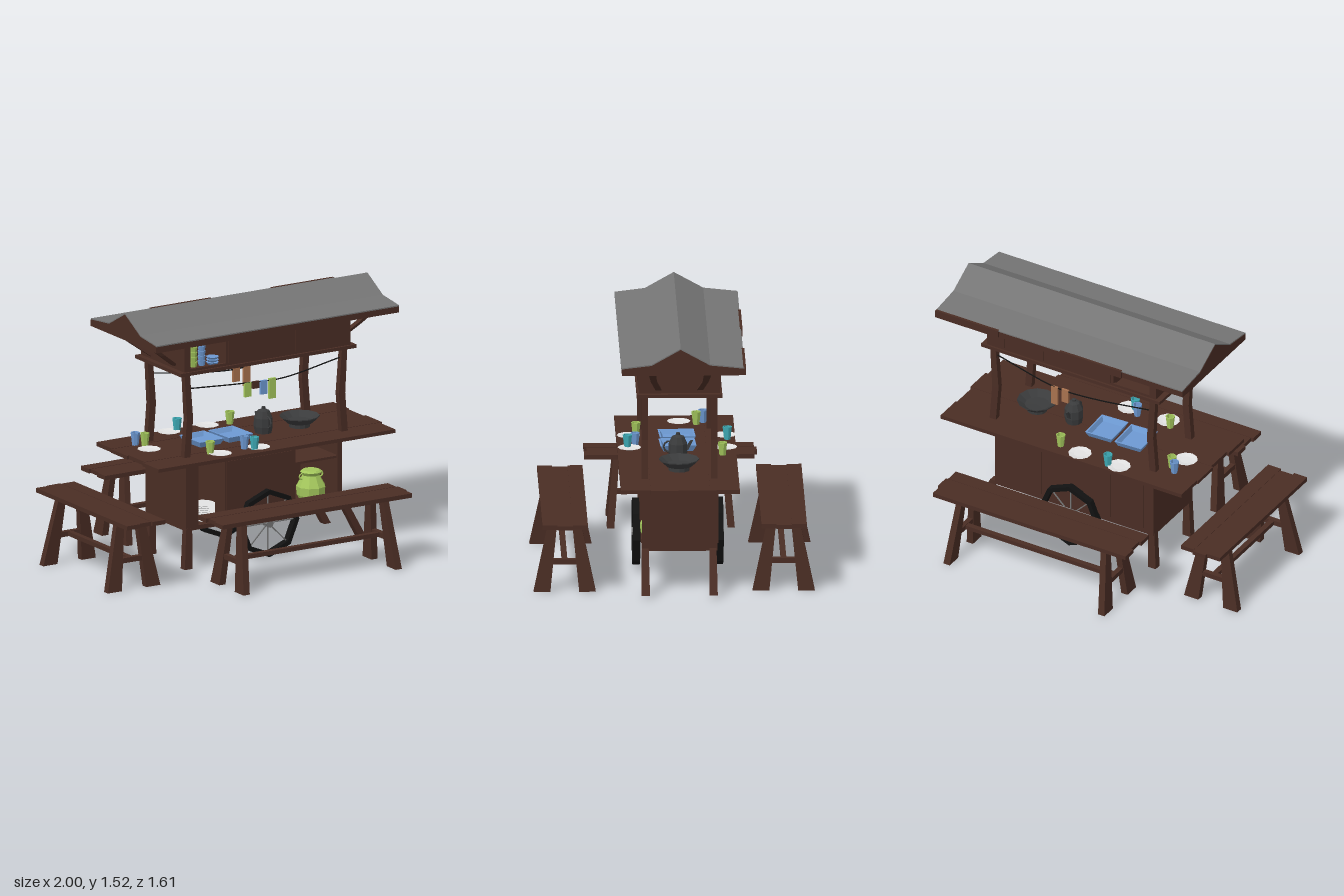
import * as THREE from 'three';

const paint = (name, color) => Object.assign(new THREE.MeshStandardMaterial({ color }), { name });
const wood = paint('dark wood', 0x4a2d24), tin = paint('grey tin', 0x757575), rubber = paint('black rubber', 0x121212);
const iron = paint('dark iron', 0x3a3b3c), green = paint('green glaze', 0xa3c65c), blue = paint('blue enamel', 0x6d99d2);
const teal = paint('teal glass', 0x3fadb8), white = paint('white china', 0xe2e2e2), tan = paint('tan cloth', 0xa8714e);

// Faceted mesh added to a parent
function add(parent, name, geo, mat, x = 0, y = 0, z = 0) {
  const g = geo.index ? geo.toNonIndexed() : geo;
  g.computeVertexNormals();
  const m = new THREE.Mesh(g, mat);
  m.name = name;
  m.position.set(x, y, z);
  parent.add(m);
  return m;
}

// Box given by its minimum and maximum on each axis
const box = (p, name, mat, x0, x1, y0, y1, z0, z1) =>
  add(p, name, new THREE.BoxGeometry(x1 - x0, y1 - y0, z1 - z0), mat, (x0 + x1) / 2, (y0 + y1) / 2, (z0 + z1) / 2);

// Tapered beam from a up to b with level ends of size [x, z]
function beam(p, name, a, b, sa, sb = sa, mat = wood) {
  const g = new THREE.BoxGeometry(1, 1, 1), v = g.attributes.position;
  for (let i = 0; i < v.count; i++) {
    const top = v.getY(i) > 0, c = top ? b : a, s = top ? sb : sa;
    v.setXYZ(i, c[0] + v.getX(i) * s[0], c[1], c[2] + v.getZ(i) * s[1]);
  }
  return add(p, name, g, mat);
}

const lathe = (pts, sides) => new THREE.LatheGeometry(pts.map(q => new THREE.Vector2(...q)), sides);

// Board of several planks along x with uneven ends
function planks(p, name, x0, x1, y0, y1, z0, z1, n) {
  const w = (z1 - z0) / n;
  for (let i = 0; i < n; i++) {
    const j = 0.008 * Math.sin(i * 2.7 + z0 * 9);
    box(p, name, wood, x0 + j, x1 + j, y0, y1 - 0.002 * (i % 2), z0 + i * w, z0 + (i + 1) * w);
  }
}

// Panel in the xy plane with rectangular holes [x0, x1, y0, y1]
function panel(p, name, [x0, x1, y0, y1], holes, z, depth) {
  const rect = (C, a, b, c, d) => new C([[a, c], [b, c], [b, d], [a, d]].map(q => new THREE.Vector2(...q)));
  const s = rect(THREE.Shape, x0, x1, y0, y1);
  s.holes = holes.map(h => rect(THREE.Path, ...h));
  add(p, name, new THREE.ExtrudeGeometry(s, { depth, bevelEnabled: false }), wood, 0, 0, z);
}

// Solid along x from a [z, y] profile
function prismX(p, name, mat, pts, x0, x1) {
  const s = new THREE.Shape(pts.map(([z, y]) => new THREE.Vector2(-z, y)));
  add(p, name, new THREE.ExtrudeGeometry(s, { depth: x1 - x0, bevelEnabled: false }).rotateY(Math.PI / 2), mat, x0);
}

function bench(length, foot) {
  const g = new THREE.Group(), h = length / 2, inner = foot - 0.035;
  g.name = 'bench';
  planks(g, 'benchSeat', -h, h, 0.397, 0.422, -0.13, 0.13, 3);
  for (const sx of [-1, 1]) {
    for (const sz of [-1, 1])
      beam(g, 'benchLeg', [sx * foot, 0, sz * 0.13], [sx * inner, 0.398, sz * 0.068], [0.042, 0.095], [0.036, 0.05]);
    box(g, 'benchCrossbar', wood, sx * (foot - 0.015) - 0.015, sx * (foot - 0.015) + 0.015, 0.157, 0.187, -0.09, 0.09);
  }
  box(g, 'benchStretcher', wood, -foot, foot, 0.16, 0.185, -0.016, 0.016);
  return g;
}

function wheel(z) {
  const g = new THREE.Group();
  g.name = 'wheel';
  const ring = r => Array.from({ length: 8 }, (_, i) =>
    new THREE.Vector2(r * Math.cos(i * Math.PI / 4), r * Math.sin(i * Math.PI / 4)));
  const s = new THREE.Shape(ring(0.2));
  s.holes.push(new THREE.Path(ring(0.172)));
  add(g, 'tyre', new THREE.ExtrudeGeometry(s, { depth: 0.042, bevelEnabled: false }), rubber, 0, 0, -0.021);
  for (let i = 0; i < 4; i++)
    add(g, 'spoke', new THREE.BoxGeometry(0.35, 0.006, 0.006), tin).rotation.z = i * Math.PI / 4;
  add(g, 'hub', new THREE.CylinderGeometry(0.024, 0.024, 0.05, 8).rotateX(Math.PI / 2), tin);
  g.position.set(0.175, 0.212, z);
  return g;
}

function cart(root) {
  const g = new THREE.Group();
  g.name = 'cart';
  root.add(g);
  // Lower cabinet with two open bays at the front
  panel(g, 'cabinetFront', [-0.365, 0.69, 0.235, 0.652], [[-0.28, -0.1, 0.26, 0.62], [0.375, 0.66, 0.26, 0.62]], 0.16, 0.018);
  box(g, 'cabinetBack', wood, -0.365, 0.69, 0.235, 0.652, -0.255, -0.237);
  box(g, 'cabinetFloor', wood, -0.365, 0.69, 0.235, 0.258, -0.24, 0.165);
  for (const x of [-0.365, -0.3, -0.1, 0.357, 0.672]) box(g, 'cabinetWall', wood, x, x + 0.018, 0.235, 0.652, -0.25, 0.165);
  box(g, 'innerShelf', wood, 0.37, 0.675, 0.517, 0.53, -0.24, 0.165);
  for (const [a, b] of [[-0.095, 0.085], [0.1, 0.35]]) box(g, 'frontDoor', wood, a, b, 0.27, 0.61, 0.175, 0.182);
  for (const [a, b] of [[-0.3, -0.1], [-0.08, 0.1], [0.38, 0.65]]) box(g, 'backDoor', wood, a, b, 0.27, 0.61, -0.26, -0.25);
  // Legs, slanted props, axle
  for (const z of [0.16, -0.228]) {
    beam(g, 'cartLeg', [-0.35, 0.008, z], [-0.345, 0.25, z], [0.052, 0.045], [0.04, 0.04]);
    beam(g, 'cartProp', [0.835, 0.015, z], [0.705, 0.25, z], [0.045, 0.048], [0.045, 0.04]);
  }
  add(g, 'axle', new THREE.CylinderGeometry(0.013, 0.013, 0.48, 8).rotateX(Math.PI / 2), tin, 0.175, 0.212, -0.038);
  g.add(wheel(0.2), wheel(-0.277));
  // Counter
  planks(g, 'counter', -0.625, 0.98, 0.652, 0.675, -0.375, 0.305, 4);
  prismX(g, 'counterBrace', wood, [[0.29, 0.653], [0.17, 0.653], [0.17, 0.63]], 0, 0.35);
  // Bowed posts
  for (const z of [0.162, -0.235]) for (const [x, s] of [[-0.358, 1], [0.708, -1]]) {
    beam(g, 'post', [x, 0.67, z], [x + s * 0.018, 0.9, z], [0.042, 0.037]);
    beam(g, 'post', [x + s * 0.018, 0.9, z], [x, 1.17, z], [0.042, 0.037], [0.036, 0.035]);
  }
  // Upper cabinet
  box(g, 'upperShelf', wood, -0.42, 0.77, 1.165, 1.185, -0.28, 0.21);
  const upper = [-0.387, 0.737, 1.18, 1.37], bay = [-0.345, -0.105, 1.2, 1.35];
  panel(g, 'upperFront', upper, [bay], 0.18, 0.016);
  panel(g, 'upperBack', upper, [bay], -0.268, 0.016);
  box(g, 'upperDivider', wood, -0.38, 0.73, 1.18, 1.37, -0.045, -0.03);
  for (const x of [-0.387, -0.105, 0.721]) box(g, 'upperWall', wood, x, x + 0.016, 1.18, 1.37, -0.26, 0.185);
  for (const [a, b] of [[-0.09, -0.01], [0.36, 0.61], [0.62, 0.69]])
    for (const z of [0.195, -0.273]) box(g, 'slidingDoor', wood, a, b, 1.2, 1.35, z, z + 0.006);
  // Roof, tin skin, rear fascia and braces
  prismX(g, 'roofBody', wood, [[-0.4, 1.362], [0.3, 1.362], [0.3, 1.4], [0.13, 1.42], [-0.036, 1.514], [-0.205, 1.42], [-0.4, 1.4]], -0.645, 1);
  prismX(g, 'roofSkin', tin, [[0.304, 1.399], [0.304, 1.406], [0.13, 1.427], [-0.036, 1.521], [-0.205, 1.427], [-0.402, 1.406],
    [-0.402, 1.399], [-0.205, 1.419], [-0.036, 1.512], [0.13, 1.419]], -0.643, 0.998);
  for (const [a, b] of [[-0.24, 0.17], [0.58, 0.998]]) box(g, 'rearFascia', wood, a, b, 1.362, 1.408, -0.41, -0.395);
  for (const [x0, x1] of [[-0.385, -0.6], [0.735, 0.955]]) for (const s of [-1, 1]) {
    const z = d => -0.034 + s * d, xm = (x0 + x1) / 2;
    beam(g, 'roofBrace', [x0, 1.205, z(0.118)], [xm, 1.285, z(0.148)], [0.03, 0.035]);
    beam(g, 'roofBrace', [xm, 1.285, z(0.148)], [x1, 1.368, z(0.16)], [0.03, 0.035], [0.04, 0.045]);
  }
}

function goods(root) {
  const g = new THREE.Group();
  g.name = 'goods';
  root.add(g);
  // Plates and cups on the counter
  const plate = lathe([[0, 0], [0.035, 0], [0.068, 0.01], [0.035, 0.005], [0, 0.005]], 10);
  for (const [x, z] of [[-0.465, -0.06], [-0.17, 0.235], [0.09, 0.235], [-0.17, -0.315], [0.09, -0.315]])
    add(g, 'plate', plate, white, x, 0.676, z);
  const cup = lathe([[0, 0], [0.019, 0], [0.028, 0.075], [0.023, 0.075], [0.016, 0.008], [0, 0.008]], 7);
  for (const [x, z, m] of [[-0.47, -0.2, blue], [-0.43, -0.16, green], [-0.21, 0.19, green], [0.055, 0.245, teal],
    [-0.105, -0.33, teal], [0.015, 0.2, blue], [0.23, -0.295, green]]) add(g, 'cup', cup, m, x, 0.676, z);
  // Square trays
  const tray = lathe([[0, 0], [0.1, 0], [0.122, 0.035], [0.11, 0.035], [0.092, 0.01], [0, 0.01]], 4)
    .rotateY(Math.PI / 4).scale(1, 1, 1.2);
  for (const x of [-0.12, 0.075]) add(g, 'tray', tray, blue, x, 0.676, -0.04).rotation.y = 0.05;
  // Kettle and pan
  const k = new THREE.Group();
  k.name = 'kettle';
  k.position.set(0.295, 0.676, -0.038);
  g.add(k);
  add(k, 'kettleBody', lathe([[0, 0], [0.048, 0], [0.056, 0.04], [0.054, 0.09], [0.035, 0.13], [0.012, 0.14], [0.012, 0.152], [0, 0.155]], 9), iron);
  beam(k, 'kettleSpout', [0, 0.05, -0.045], [0, 0.105, -0.078], [0.02, 0.025], [0.012, 0.014], iron);
  add(k, 'kettleHandle', new THREE.TorusGeometry(0.032, 0.006, 5, 10).rotateY(Math.PI / 2), iron, 0, 0.07, 0.05);
  add(g, 'pan', lathe([[0, 0], [0.075, 0], [0.116, 0.036], [0.116, 0.042], [0.072, 0.012], [0, 0.008]], 12), iron, 0.54, 0.7, -0.038);
  add(g, 'panStand', new THREE.CylinderGeometry(0.06, 0.06, 0.028, 12), iron, 0.54, 0.688, -0.038);
  // Jar and plate stack in the open bays
  add(g, 'jar', lathe([[0, 0], [0.055, 0], [0.083, 0.05], [0.086, 0.1], [0.058, 0.15], [0.05, 0.165], [0.064, 0.185], [0.05, 0.195], [0, 0.195]], 9),
    green, 0.53, 0.258, 0.1);
  for (const s of [-1, 1]) add(g, 'jarHandle', new THREE.TorusGeometry(0.017, 0.005, 5, 8), green, 0.53 + s * 0.062, 0.42, 0.1);
  for (let i = 0; i < 9; i++) add(g, 'stackedPlate', new THREE.CylinderGeometry(0.078, 0.055, 0.009, 10), white, -0.195, 0.264 + i * 0.0108, 0.08);
  // Stacks in the upper bay
  for (let i = 0; i < 5; i++) {
    add(g, 'stackedCup', new THREE.CylinderGeometry(0.026, 0.02, 0.03, 7), green, -0.288, 1.206 + i * 0.029, 0.13);
    add(g, 'stackedCup', new THREE.CylinderGeometry(0.024, 0.018, 0.03, 7), blue, -0.23, 1.206 + i * 0.029, 0.13);
  }
  for (let i = 0; i < 3; i++) add(g, 'stackedDish', new THREE.CylinderGeometry(0.038, 0.028, 0.013, 8), blue, -0.157, 1.195 + i * 0.016, 0.13);
  // Washing lines and cloths
  for (const [z, y] of [[0.16, 1.045], [-0.235, 1.018]]) {
    const path = new THREE.CatmullRomCurve3([[-0.335, 1.075], [0.05, y + 0.006], [0.3, y], [0.69, 1.11]].map(q => new THREE.Vector3(...q, z)));
    add(g, 'washingLine', new THREE.TubeGeometry(path, 24, 0.004, 5), rubber);
  }
  for (const [x, y0, y1, z, m] of [[0.062, 0.968, 1.052, 0.16, green], [0.117, 1.01, 1.052, 0.16, wood], [0.17, 0.968, 1.05, 0.16, blue],
    [0.228, 0.935, 1.055, 0.16, green], [0.305, 0.905, 1.022, -0.235, tan], [0.235, 0.94, 1.025, -0.235, tan]])
    box(g, 'cloth', m, x - 0.022, x + 0.022, y0, y1, z - 0.007, z + 0.007);
}

export function createModel() {
  const root = new THREE.Group();
  root.name = 'foodCart';
  cart(root);
  goods(root);
  // Three benches around the cart
  for (const [x, z, len, foot, turn] of [[0.168, 0.62, 1.285, 0.515, 0], [0.168, -0.633, 1.285, 0.515, 0], [-0.823, -0.02, 0.975, 0.345, Math.PI / 2]]) {
    const b = bench(len, foot);
    b.position.set(x, 0, z);
    b.rotation.y = turn;
    root.add(b);
  }
  return root;
}
